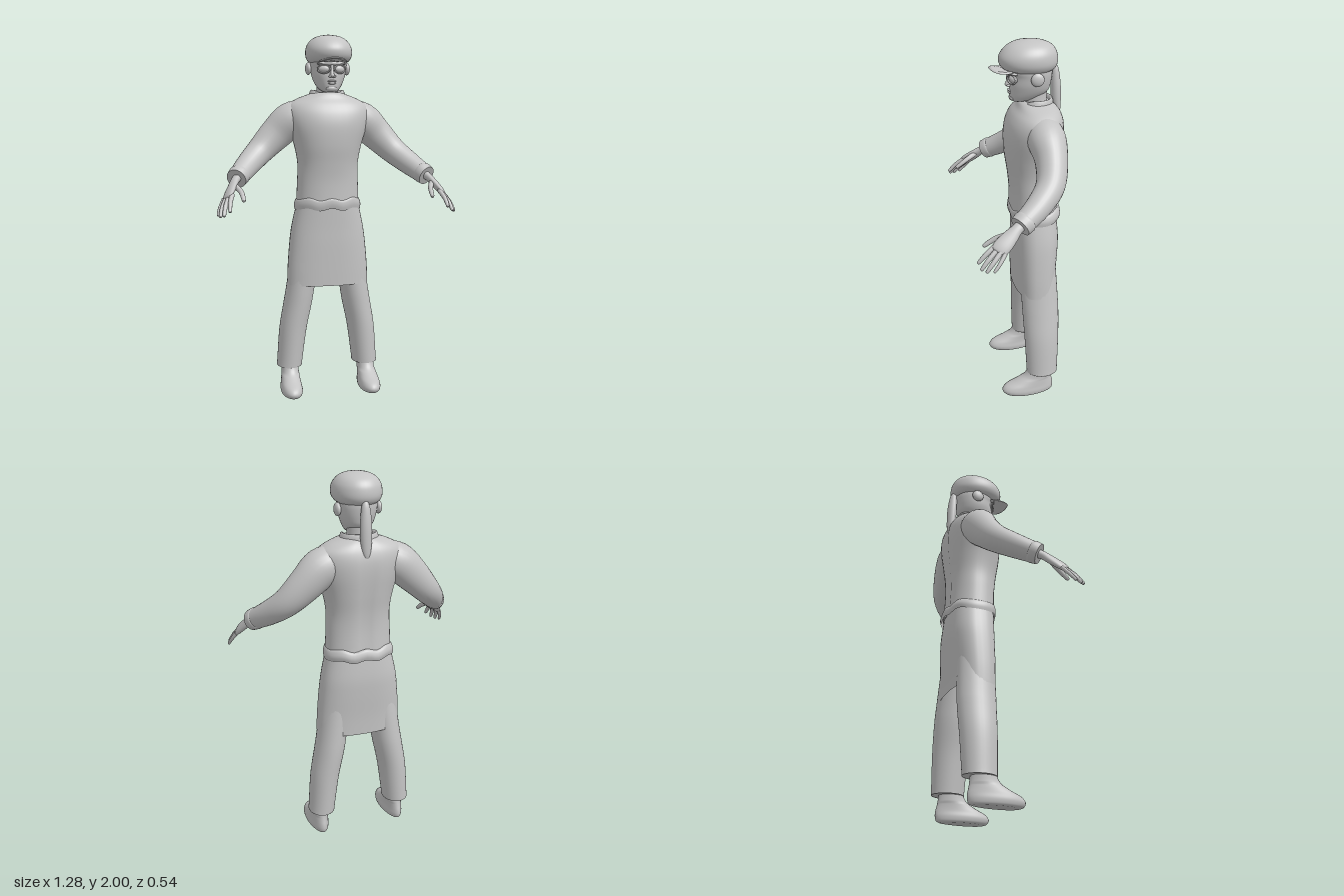
import * as THREE from 'three';

const grey = new THREE.MeshStandardMaterial({ color: 0xc4c4c4, side: THREE.DoubleSide });
grey.name = 'plain grey';

// Catmull-Rom subdivision of rows of numbers
function smoothRows(rows, steps) {
  const out = [], last = rows.length - 1;
  for (let i = 0; i < last; i++) {
    const [a, b, c, d] = [rows[Math.max(i - 1, 0)], rows[i], rows[i + 1], rows[Math.min(i + 2, last)]];
    for (let k = 0; k < steps; k++) {
      const t = k / steps;
      out.push(b.map((_, n) => b[n] + 0.5 * t * (c[n] - a[n]
        + t * (2 * a[n] - 5 * b[n] + 4 * c[n] - d[n] + t * (3 * (b[n] - c[n]) + d[n] - a[n])))));
    }
  }
  out.push(rows[last]);
  return out;
}

// Skin over a list of rings, with flat caps where asked
function skin(rings, capStart, capEnd) {
  const n = rings[0].length, pos = [], index = [];
  rings.forEach(r => r.forEach(p => pos.push(p.x, p.y, p.z)));
  for (let j = 0; j < rings.length - 1; j++) {
    for (let i = 0; i < n; i++) {
      const a = j * n + i, b = j * n + (i + 1) % n;
      index.push(a, a + n, b, b, a + n, b + n);
    }
  }
  const cap = (ring, flip) => {
    const base = pos.length / 3;
    const mid = ring.reduce((s, p) => s.add(p), new THREE.Vector3()).divideScalar(n);
    [...ring, mid].forEach(p => pos.push(p.x, p.y, p.z));
    for (let i = 0; i < n; i++) {
      const a = base + i, b = base + (i + 1) % n;
      index.push(base + n, flip ? b : a, flip ? a : b);
    }
  };
  if (capStart) cap(rings[0], false);
  if (capEnd) cap(rings[rings.length - 1], true);
  const g = new THREE.BufferGeometry();
  g.setAttribute('position', new THREE.Float32BufferAttribute(pos, 3));
  g.setIndex(index);
  g.computeVertexNormals();
  return g;
}

// Level cross-sections, bottom to top: [y, centreX, halfWidth, zFront, zBack]
function loft(rows, { power = 2, sides = 40, steps = 5, bottom = true, top = true, rule } = {}) {
  const bend = v => Math.sign(v) * Math.abs(v) ** (2 / power);
  return skin(smoothRows(rows, steps).map(([y, cx, rx, zf, zb]) =>
    Array.from({ length: sides }, (_, i) => {
      const a = i / sides * Math.PI * 2, c = bend(Math.cos(a)), s = bend(Math.sin(a));
      const p = new THREE.Vector3(cx + rx * c, y, (zf + zb) / 2 + (zf - zb) / 2 * s);
      if (rule) rule(p, c, s);
      return p;
    })), bottom, top);
}

// Limb along a path: [x, y, z, radius, second radius], mirrored by side
function limb(rows, side = 1, sides = 20, steps = 5) {
  const path = smoothRows(rows, steps);
  const at = r => new THREE.Vector3(r[0] * side, r[1], r[2]);
  const ref = new THREE.Vector3(side, 1, 0).normalize();
  return skin(path.map((r, j) => {
    const t = at(path[Math.min(j + 1, path.length - 1)]).sub(at(path[Math.max(j - 1, 0)])).normalize();
    const n = t.clone().cross(ref).normalize(), b = n.clone().cross(t);
    return Array.from({ length: sides }, (_, i) => {
      const a = i / sides * Math.PI * 2;
      return at(r).addScaledVector(n, r[3] * Math.cos(a)).addScaledVector(b, r[4] * Math.sin(a));
    });
  }), true, true);
}

export function createModel() {
  const model = new THREE.Group();
  const add = (name, geometry) => {
    const m = new THREE.Mesh(geometry, grey);
    m.name = name;
    model.add(m);
    return m;
  };
  const ball = (name, x, y, z, rx, ry, rz) => {
    const m = add(name, new THREE.SphereGeometry(1, 24, 16));
    m.position.set(x, y, z);
    m.scale.set(rx, ry, rz);
    return m;
  };

  // Jumper, with a shallow groove down the spine
  add('jumper', loft([
    [1.07, 0, 0.178, 0.005, -0.255], [1.2, 0, 0.172, 0.005, -0.247], [1.3, 0, 0.17, 0.015, -0.25],
    [1.4, 0, 0.188, 0.03, -0.262], [1.5, 0, 0.218, 0.034, -0.272], [1.57, 0, 0.232, 0.022, -0.272],
    [1.62, 0, 0.222, -0.002, -0.262], [1.655, 0, 0.175, -0.03, -0.245], [1.68, 0, 0.11, -0.045, -0.222],
    [1.69, 0, 0.08, -0.06, -0.2]],
  { power: 2.2, rule: p => { if (p.z < -0.15) p.z += 0.012 * Math.exp(-((p.x / 0.03) ** 2)); } }));
  // Wavy hem band
  add('jumperHem', loft([
    [1.05, 0, 0.186, 0.004, -0.264], [1.075, 0, 0.189, 0.01, -0.27], [1.1, 0, 0.182, 0.009, -0.262],
    [1.108, 0, 0.174, 0.002, -0.25]],
  { power: 2.3, steps: 3, sides: 64, bottom: false, top: false,
    rule: (p, c) => { p.y += 0.007 * Math.cos(c * 9); } }));
  // Collar dipping at the front
  add('collar', loft([
    [1.655, 0, 0.108, -0.025, -0.225], [1.685, 0, 0.1, -0.045, -0.222], [1.705, 0, 0.092, -0.055, -0.215],
    [1.7, 0, 0.082, -0.065, -0.205], [1.67, 0, 0.076, -0.07, -0.195]],
  { steps: 3, bottom: false, top: false, rule: (p, c, s) => { p.y -= 0.035 * Math.max(0, s) ** 3; } }));

  // Skirt, open below
  add('skirt', loft([
    [0.618, 0, 0.232, -0.012, -0.24], [0.72, 0, 0.228, -0.01, -0.243], [0.85, 0, 0.217, -0.008, -0.252],
    [0.95, 0, 0.203, -0.008, -0.255], [1.07, 0, 0.176, -0.006, -0.245]],
  { power: 2.5, bottom: false }));

  for (const s of [1, -1]) {
    const side = s > 0 ? 'left' : 'right';
    // Trousers and feet
    add(side + 'TrouserLeg', loft([
      [0.14, s * 0.222, 0.073, -0.055, -0.23], [0.16, s * 0.22, 0.072, -0.054, -0.231],
      [0.35, s * 0.2, 0.078, -0.045, -0.238], [0.5, s * 0.172, 0.081, -0.038, -0.242],
      [0.62, s * 0.152, 0.081, -0.034, -0.238], [0.95, s * 0.1, 0.085, -0.03, -0.22]], { sides: 32 }));
    add(side + 'Foot', loft([
      [0, s * 0.226, 0.045, 0.06, -0.185], [0.008, s * 0.226, 0.056, 0.08, -0.2],
      [0.03, s * 0.226, 0.06, 0.09, -0.207], [0.055, s * 0.226, 0.056, 0.07, -0.206],
      [0.08, s * 0.225, 0.052, 0.015, -0.2], [0.11, s * 0.223, 0.049, -0.035, -0.194],
      [0.15, s * 0.222, 0.049, -0.06, -0.19], [0.2, s * 0.22, 0.049, -0.07, -0.19]],
    { sides: 32, rule: (p, c, n) => { p.x += (p.x - s * 0.226) * 0.16 * n * (p.y < 0.1 ? 1 : 0.3); } }));

    // Sleeve and cuff
    add(side + 'Sleeve', limb([
      [0.1, 1.575, -0.135, 0.085, 0.08], [0.2, 1.54, -0.145, 0.098, 0.1], [0.29, 1.46, -0.15, 0.082, 0.09],
      [0.38, 1.37, -0.125, 0.073, 0.074], [0.455, 1.3, -0.05, 0.064, 0.064], [0.515, 1.243, 0.04, 0.054, 0.054]],
    s, 28));
    add(side + 'Cuff', limb([
      [0.502, 1.257, 0.018, 0.054, 0.054], [0.508, 1.251, 0.028, 0.06, 0.058], [0.525, 1.235, 0.055, 0.056, 0.054]], s, 28, 3));

    // Hand
    add(side + 'Palm', limb([
      [0.508, 1.25, 0.03, 0.03, 0.026], [0.532, 1.228, 0.07, 0.028, 0.021], [0.55, 1.2, 0.105, 0.037, 0.02],
      [0.57, 1.168, 0.145, 0.043, 0.018], [0.582, 1.147, 0.17, 0.038, 0.013], [0.586, 1.141, 0.177, 0.02, 0.005]], s));
    const fingers = {
      IndexFinger: [[0.557, 1.165, 0.178], [0.57, 1.13, 0.226], [0.575, 1.09, 0.265]],
      MiddleFinger: [[0.573, 1.152, 0.172], [0.594, 1.11, 0.22], [0.604, 1.068, 0.255]],
      RingFinger: [[0.587, 1.143, 0.158], [0.61, 1.1, 0.2], [0.621, 1.062, 0.232]],
      LittleFinger: [[0.598, 1.138, 0.14], [0.62, 1.097, 0.17], [0.631, 1.064, 0.198]],
      Thumb: [[0.538, 1.205, 0.11], [0.51, 1.177, 0.17], [0.502, 1.14, 0.225]],
    };
    for (const [name, [a, b, c]] of Object.entries(fingers)) {
      const r = name === 'Thumb' ? 0.0135 : name === 'LittleFinger' ? 0.0095 : 0.0115;
      const end = c.map((v, i) => v + (c[i] - b[i]) * 0.1);
      add(side + name, limb([[...a, r * 1.15, r * 1.15], [...b, r, r], [...c, r * 0.75, r * 0.75],
        [...end, r * 0.2, r * 0.2]], s, 12, 4));
    }

    // Ear piece, goggle lens and rim
    ball(side + 'EarPiece', s * 0.108, 1.82, -0.117, 0.017, 0.034, 0.034);
    ball(side + 'Lens', s * 0.042, 1.812, -0.006, 0.032, 0.02, 0.018).rotation.y = s * 0.35;
    const rim = add(side + 'Rim', new THREE.TorusGeometry(0.034, 0.005, 8, 28));
    rim.position.set(s * 0.043, 1.812, 0.002);
    rim.rotation.y = s * 0.42;
    rim.scale.set(1, 0.66, 1);
    ball(side + 'Nostril', s * 0.011, 1.773, 0.012, 0.009, 0.007, 0.01);
  }

  // Neck, head and face
  add('neck', loft([[1.6, 0, 0.075, -0.05, -0.2], [1.68, 0, 0.06, -0.065, -0.19], [1.78, 0, 0.06, -0.06, -0.19]]));
  add('head', loft([
    [1.69, 0, 0.026, -0.012, -0.07], [1.697, 0, 0.042, -0.001, -0.11], [1.715, 0, 0.06, 0.005, -0.16],
    [1.745, 0, 0.078, 0.006, -0.196], [1.78, 0, 0.091, 0.006, -0.207], [1.82, 0, 0.098, 0.002, -0.213],
    [1.85, 0, 0.101, 0.01, -0.214], [1.9, 0, 0.1, 0.008, -0.21]], { power: 2.1 }));
  add('nose', loft([
    [1.766, 0, 0.008, 0.016, -0.02], [1.774, 0, 0.014, 0.028, -0.02], [1.785, 0, 0.012, 0.027, -0.02],
    [1.81, 0, 0.009, 0.015, -0.02], [1.835, 0, 0.01, 0.012, -0.02]], { sides: 20 }));
  ball('upperLip', 0, 1.748, 0.005, 0.024, 0.006, 0.01);
  ball('lowerLip', 0, 1.737, 0.004, 0.021, 0.007, 0.01);
  ball('chin', 0, 1.709, -0.008, 0.03, 0.016, 0.016);
  ball('brow', 0, 1.841, -0.012, 0.08, 0.012, 0.028);

  // Cap and peak
  add('cap', loft([
    [1.85, 0, 0.1, 0.015, -0.214], [1.862, 0, 0.114, 0.042, -0.23], [1.885, 0, 0.125, 0.058, -0.24],
    [1.915, 0, 0.126, 0.06, -0.24], [1.945, 0, 0.117, 0.044, -0.232], [1.972, 0, 0.096, 0.015, -0.21],
    [1.99, 0, 0.064, -0.025, -0.17], [2, 0, 0.015, -0.08, -0.115]], { power: 2.1 }));
  add('peak', loft([
    [1.86, 0, 0.068, 0.102, -0.04], [1.865, 0, 0.075, 0.112, -0.04], [1.871, 0, 0.068, 0.1, -0.04]],
  { power: 2.3, steps: 2, rule: p => { p.y -= 3 * p.x * p.x; } }));

  // Ponytail
  add('ponytail', limb([
    [0, 1.87, -0.222, 0.012, 0.012], [0, 1.84, -0.23, 0.02, 0.022], [0, 1.76, -0.236, 0.026, 0.03],
    [0, 1.68, -0.24, 0.025, 0.029], [0, 1.61, -0.246, 0.016, 0.02], [0, 1.58, -0.248, 0.004, 0.005]]));

  return model;
}
